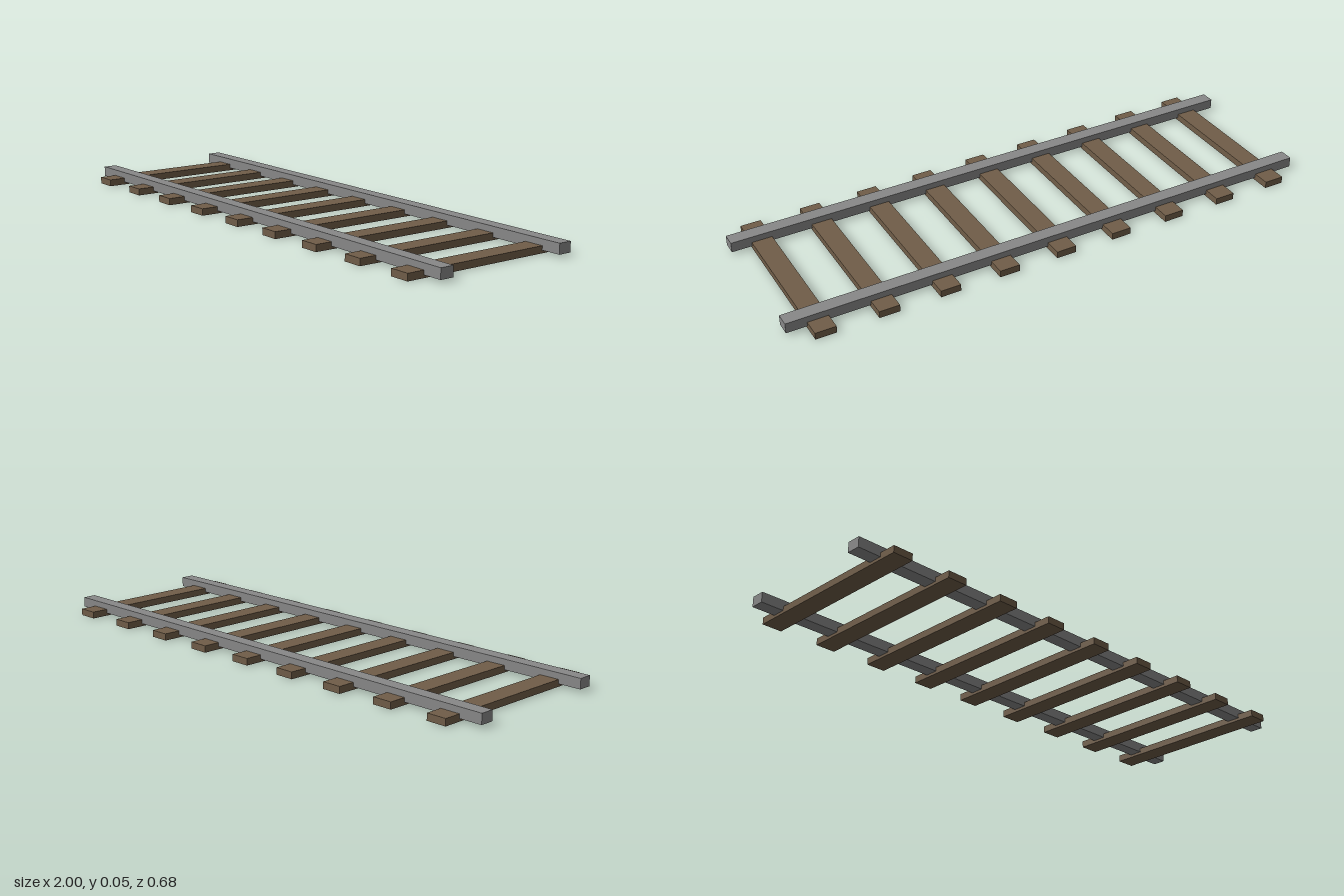
import * as THREE from 'three';

export function createModel() {
  const group = new THREE.Group();
  group.name = 'railTrack';

  const wood = new THREE.MeshStandardMaterial({ color: 0x705d48 });
  wood.name = 'brown wood';
  const steel = new THREE.MeshStandardMaterial({ color: 0x888888 });
  steel.name = 'grey steel';

  const addBox = (name, material, size, position) => {
    const mesh = new THREE.Mesh(new THREE.BoxGeometry(...size), material);
    mesh.name = name;
    mesh.position.set(...position);
    group.add(mesh);
  };

  // Nine evenly spaced sleepers lying across the track
  const sleeperCount = 9, spacing = 0.221, firstX = -0.878;
  for (let i = 0; i < sleeperCount; i++) {
    addBox(`sleeper${i + 1}`, wood, [0.074, 0.025, 0.675], [firstX + i * spacing, 0.0125, 0]);
  }

  // Two rails, let into the tops of the sleepers
  for (const side of [1, -1]) {
    addBox(side > 0 ? 'frontRail' : 'backRail', steel, [2, 0.037, 0.05], [0, 0.0285, side * 0.249]);
  }

  return group;
}
